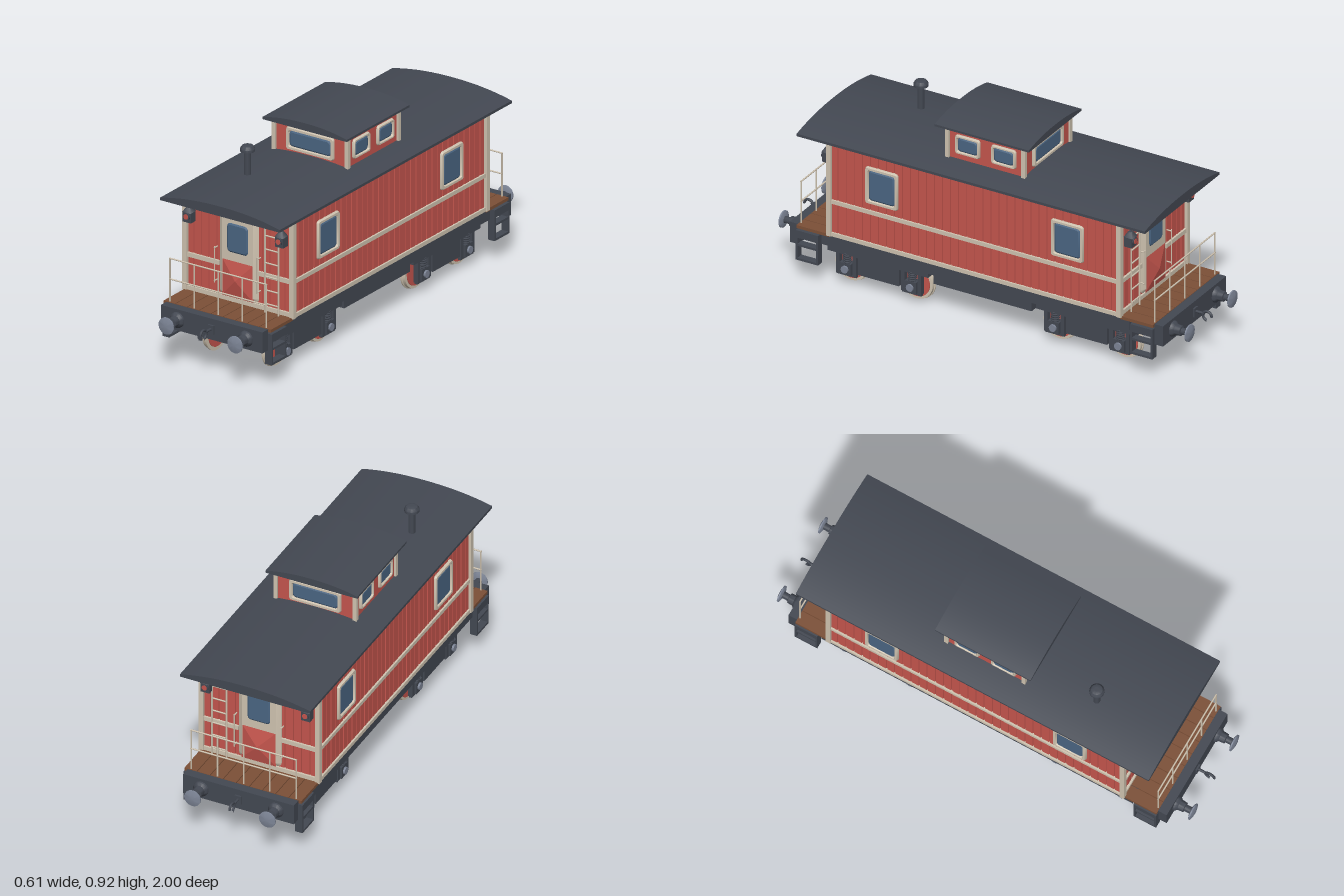
import * as THREE from 'three';
import { toCreasedNormals } from 'three/addons/utils/BufferGeometryUtils.js';

const mat = (name, color) => {
  const m = new THREE.MeshStandardMaterial({ color });
  m.name = name;
  return m;
};

export function createModel() {
  const red = mat('red paint', 0xc4554d), dark = mat('dark iron', 0x434852);
  const cream = mat('cream trim', 0xcfc3b0), glass = mat('blue glass', 0x4a6582);
  const steel = mat('steel', 0x7d8596), wood = mat('deck wood', 0x7c5037);
  const model = new THREE.Group();
  model.name = 'railwayCaboose';

  // helpers
  const add = (parent, name, geo, m, x = 0, y = 0, z = 0) => {
    const mesh = new THREE.Mesh(geo, m);
    mesh.name = name;
    mesh.position.set(x, y, z);
    parent.add(mesh);
    return mesh;
  };
  const group = (parent, name, x = 0, y = 0, z = 0, ry = 0) => {
    const g = new THREE.Group();
    g.name = name;
    g.position.set(x, y, z);
    g.rotation.y = ry;
    parent.add(g);
    return g;
  };
  const box = (parent, name, m, w, h, d, x, y, z) =>
    add(parent, name, new THREE.BoxGeometry(w, h, d), m, x, y, z);
  const rod = (parent, name, m, r, len, axis, x, y, z, sides = 12) => {
    const g = new THREE.CylinderGeometry(r, r, len, sides);
    if (axis === 'x') g.rotateZ(-Math.PI / 2);
    if (axis === 'z') g.rotateX(Math.PI / 2);
    return add(parent, name, g, m, x, y, z);
  };
  const lathe = (pts, axis) => {
    const g = toCreasedNormals(new THREE.LatheGeometry(pts.map(p => new THREE.Vector2(...p)), 28), 0.6);
    if (axis === 'x') g.rotateZ(-Math.PI / 2);
    if (axis === 'z') g.rotateX(Math.PI / 2);
    return g;
  };
  const roundRect = (w, h, r, P = THREE.Shape) => {
    const s = new P(), a = w / 2 - r, b = h / 2 - r;
    s.absarc(a, b, r, 0, Math.PI / 2);
    s.absarc(-a, b, r, Math.PI / 2, Math.PI);
    s.absarc(-a, -b, r, Math.PI, Math.PI * 1.5);
    s.absarc(a, -b, r, Math.PI * 1.5, Math.PI * 2);
    s.closePath();
    return s;
  };
  // bevelled plate on z = 0 facing +z, w and h are overall sizes
  const plate = (w, h, r, t, bevel, hole) => {
    const s = roundRect(w - 2 * bevel, h - 2 * bevel, r);
    if (hole) s.holes.push(roundRect(hole[0] + 2 * bevel, hole[1] + 2 * bevel, r, THREE.Path));
    return toCreasedNormals(new THREE.ExtrudeGeometry(s, {
      depth: 0.004, bevelEnabled: true, bevelThickness: t, bevelSize: bevel, bevelSegments: 1, curveSegments: 5,
    }), 0.5);
  };
  const windowUnit = (parent, name, w, h, x, y, z, ry, border = 0.018) => {
    const g = group(parent, name, x, y, z, ry);
    add(g, 'windowFrame', plate(w, h, 0.01, 0.008, 0.004, [w - 2 * border, h - 2 * border]), cream);
    add(g, 'windowGlass', plate(w - 2 * border + 0.004, h - 2 * border + 0.004, 0.01, 0.005, 0.008), glass);
  };
  const archedRoof = (name, halfW, base, edge, crown, halfL) => {
    const s = new THREE.Shape();
    s.moveTo(-halfW, base);
    s.lineTo(halfW, base);
    s.lineTo(halfW, base + edge);
    for (let i = 1; i <= 24; i++) {
      const x = halfW * (1 - i / 12), u = x / halfW;
      s.lineTo(x, base + edge + (crown - base - edge) * (1 - Math.pow(Math.abs(u), 2.2)));
    }
    s.closePath();
    const g = new THREE.ExtrudeGeometry(s, { depth: 2 * halfL, bevelEnabled: false });
    add(model, name, toCreasedNormals(g, 0.5), dark, 0, 0, -halfL);
  };

  // grooved plank body, extruded upwards from a notched plan outline
  const bodyX = 0.272, bodyZ = 0.706, outline = [];
  const wall = (ax, az, bx, bz, n) => {
    const len = Math.hypot(bx - ax, bz - az), dx = (bx - ax) / len, dz = (bz - az) / len;
    const pt = (t, inset) => outline.push(new THREE.Vector2(ax + dx * t - dz * inset, az + dz * t + dx * inset));
    pt(0, 0);
    for (let i = 1; i < n; i++) {
      const t = len * i / n;
      pt(t - 0.003, 0); pt(t - 0.002, 0.006); pt(t + 0.002, 0.006); pt(t + 0.003, 0);
    }
  };
  wall(-bodyX, -bodyZ, bodyX, -bodyZ, 14);
  wall(bodyX, -bodyZ, bodyX, bodyZ, 36);
  wall(bodyX, bodyZ, -bodyX, bodyZ, 14);
  wall(-bodyX, bodyZ, -bodyX, -bodyZ, 36);
  const bodyGeo = new THREE.ExtrudeGeometry(new THREE.Shape(outline), { depth: 0.455, bevelEnabled: false });
  bodyGeo.rotateX(-Math.PI / 2);
  add(model, 'plankBody', bodyGeo, red, 0, 0.257, 0);

  // side trim and side windows
  for (const s of [-1, 1]) {
    box(model, 'sideBelt', cream, 0.012, 0.018, 1.4, s * 0.274, 0.422, 0);
    box(model, 'sideBaseTrim', cream, 0.012, 0.018, 1.4, s * 0.274, 0.267, 0);
    for (const e of [-1, 1]) {
      box(model, 'cornerPost', cream, 0.022, 0.45, 0.022, s * 0.274, 0.483, e * 0.708);
      windowUnit(model, 'sideWindow', 0.16, 0.175, s * 0.271, 0.55, e * 0.453, s * Math.PI / 2);
    }
  }
  archedRoof('mainRoof', 0.306, 0.705, 0.012, 0.75, 0.85);

  // cupola
  box(model, 'cupolaBody', red, 0.37, 0.16, 0.375, 0, 0.805, -0.003);
  for (const s of [-1, 1]) {
    for (const e of [-1, 1]) {
      box(model, 'cupolaPost', cream, 0.018, 0.165, 0.018, s * 0.186, 0.805, e * 0.186 - 0.003);
      windowUnit(model, 'cupolaSideWindow', 0.122, 0.09, s * 0.184, 0.81, e * 0.088 - 0.003, s * Math.PI / 2, 0.014);
    }
    windowUnit(model, 'cupolaEndWindow', 0.245, 0.105, 0, 0.808, s * 0.187 - 0.003, s > 0 ? 0 : Math.PI);
  }
  archedRoof('cupolaRoof', 0.216, 0.881, 0.01, 0.915, 0.23);

  // stove chimney
  add(model, 'chimney', lathe([[0, 0], [0.015, 0], [0.015, 0.115], [0.032, 0.118], [0.032, 0.13],
    [0.024, 0.142], [0.01, 0.147], [0, 0.148]]), dark, -0.11, 0.735, 0.49);

  // underframe
  box(model, 'underframe', dark, 0.5, 0.06, 1.74, 0, 0.22, 0);
  box(model, 'floor', dark, 0.53, 0.055, 1.5, 0, 0.2275, 0);
  box(model, 'equipmentBox', dark, 0.42, 0.07, 0.48, 0, 0.16, 0);

  // end platforms: wall details, rails, beam and buffers, built facing +z
  const buildEnd = (name, ry, ladderSide) => {
    const g = group(model, name, 0, 0, 0, ry);
    for (let i = 0; i < 9; i++)
      box(g, 'deckPlank', wood, 0.058, 0.014, 0.16, (i - 4) * 0.0615, 0.255, 0.79);
    box(g, 'endBeam', dark, 0.52, 0.096, 0.042, 0, 0.212, 0.89);
    // door with window and raised lower panel
    add(g, 'door', plate(0.2, 0.385, 0.003, 0.014, 0.02), cream, 0, 0.473, 0.703);
    add(g, 'doorGlass', plate(0.106, 0.132, 0.01, 0.005, 0.007), glass, 0, 0.556, 0.717);
    const panel = new THREE.CylinderGeometry(0.02, Math.SQRT1_2, 1, 4, 1).toNonIndexed();
    panel.rotateY(Math.PI / 4).rotateX(Math.PI / 2).scale(0.162, 0.17, 0.02);
    panel.computeVertexNormals();
    add(g, 'doorPanel', panel, red, 0, 0.37, 0.73);
    for (const s of [-1, 1]) {
      box(g, 'endBelt', cream, 0.166, 0.02, 0.012, s * 0.183, 0.422, 0.709);
      box(g, 'endBaseTrim', cream, 0.265, 0.02, 0.012, s * 0.1325, 0.271, 0.709);
      rod(g, 'doorHandrail', cream, 0.003, 0.165, 'y', s * 0.11, 0.42, 0.733, 8);
      for (const y of [0.345, 0.495]) rod(g, 'handrailBracket', cream, 0.003, 0.025, 'z', s * 0.11, y, 0.722, 8);
      // marker lamp
      const lamp = group(g, 'markerLamp', s * 0.236, 0.615, 0.738);
      box(lamp, 'lampBody', dark, 0.042, 0.045, 0.036, 0, -0.005, 0);
      const cap = new THREE.CylinderGeometry(0.011, 0.03, 0.024, 4).rotateY(Math.PI / 4);
      add(lamp, 'lampCap', cap, dark, 0, 0.029, 0);
      rod(lamp, 'lampRim', dark, 0.017, 0.008, 'z', 0, 0, 0.02, 16);
      rod(lamp, 'lampLens', red, 0.012, 0.006, 'z', 0, 0, 0.023, 16);
      // buffer
      add(g, 'bufferStem', lathe([[0, 0], [0.036, 0], [0.034, 0.01], [0.024, 0.02], [0.022, 0.045],
        [0.015, 0.047], [0.015, 0.078], [0, 0.078]], 'z'), dark, s * 0.176, 0.212, 0.908);
      add(g, 'bufferHead', lathe([[0, 0], [0.025, 0], [0.038, 0.005], [0.038, 0.011], [0.02, 0.016],
        [0, 0.017]], 'z'), steel, s * 0.176, 0.212, 0.983);
      // corner step
      const step = group(g, 'cornerStep', s * 0.263, 0, 0.816);
      for (const z of [-0.05, 0.05]) box(step, 'stepHanger', dark, 0.034, 0.14, 0.009, 0, 0.17, z);
      for (const y of [0.105, 0.172]) box(step, 'stepTread', dark, 0.034, 0.01, 0.108, 0, y, 0);
      box(step, 'stepTop', dark, 0.034, 0.035, 0.108, 0, 0.223, 0);
    }
    // platform railing
    for (const x of [-0.247, -0.123, 0, 0.123, 0.247]) rod(g, 'railPost', cream, 0.0035, 0.2, 'y', x, 0.36, 0.863, 8);
    for (const y of [0.365, 0.459]) rod(g, 'railBar', cream, 0.0035, 0.5, 'x', 0, y, 0.863, 8);
    // roof ladder
    for (const x of [0.147, 0.216]) rod(g, 'ladderRail', cream, 0.004, 0.45, 'y', ladderSide * x, 0.483, 0.73, 8);
    for (let i = 0; i < 7; i++)
      rod(g, 'ladderRung', cream, 0.0035, 0.069, 'x', ladderSide * 0.1815, 0.303 + i * 0.062, 0.73, 8);
    // coupling hook
    box(g, 'hookPlate', dark, 0.03, 0.04, 0.01, 0, 0.212, 0.914);
    rod(g, 'hookShank', dark, 0.006, 0.05, 'z', 0, 0.215, 0.935);
    const hook = add(g, 'hook', new THREE.TorusGeometry(0.021, 0.006, 8, 20, Math.PI * 1.5), dark, 0, 0.207, 0.973);
    hook.rotation.set(0, -Math.PI / 2, 0);
  };
  buildEnd('frontEnd', 0, 1);
  buildEnd('backEnd', Math.PI, -1);

  // bogies
  for (const e of [-1, 1]) {
    const b = group(model, 'bogie', 0, 0, e * 0.508);
    box(b, 'bolster', dark, 0.37, 0.085, 0.17, 0, 0.115, 0);
    rod(b, 'pivot', dark, 0.06, 0.05, 'y', 0, 0.175, 0, 20);
    for (const s of [-1, 1]) {
      box(b, 'sideBar', dark, 0.034, 0.025, 0.49, s * 0.197, 0.16, 0);
      box(b, 'sideBarCap', dark, 0.03, 0.012, 0.12, s * 0.197, 0.175, 0);
      box(b, 'sideFrame', dark, 0.03, 0.08, 0.2, s * 0.195, 0.106, 0);
    }
    for (const w of [-0.159, 0.159]) {
      const set = group(b, 'wheelset', 0, 0.083, w);
      rod(set, 'axle', steel, 0.012, 0.36, 'x', 0, 0, 0, 16);
      for (const s of [-1, 1]) {
        const wheel = group(set, 'wheel', s * 0.142, 0, 0, s > 0 ? 0 : Math.PI);
        add(wheel, 'tyre', lathe([[0, 0], [0.083, 0], [0.083, 0.006], [0.079, 0.008], [0.078, 0.022], [0, 0.022]], 'x'), cream);
        for (const x of [0, 0.022]) rod(wheel, 'wheelDisc', red, 0.066, 0.006, 'x', x, 0, 0, 28);
        rod(wheel, 'hub', red, 0.022, 0.036, 'x', 0.011, 0, 0, 16);
        // axle box, guides and spring
        const ab = group(set, 'axleBox', s * 0.198, 0, 0);
        box(ab, 'axleBoxBody', dark, 0.036, 0.055, 0.054, 0, -0.003, 0);
        rod(ab, 'axleBoxCover', steel, 0.017, 0.012, 'x', s * 0.021, -0.003, 0, 10);
        for (const z of [-0.04, 0.04]) box(ab, 'guide', dark, 0.022, 0.1, 0.018, 0, 0.018, z);
        box(ab, 'guideTie', dark, 0.014, 0.01, 0.095, 0, -0.034, 0);
        rod(ab, 'springCore', dark, 0.011, 0.055, 'y', 0, 0.043, 0, 12);
        for (let i = 0; i < 5; i++)
          add(ab, 'springCoil', new THREE.TorusGeometry(0.015, 0.004, 6, 16).rotateX(Math.PI / 2), dark, 0, 0.027 + i * 0.01, 0);
      }
    }
  }
  return model;
}
